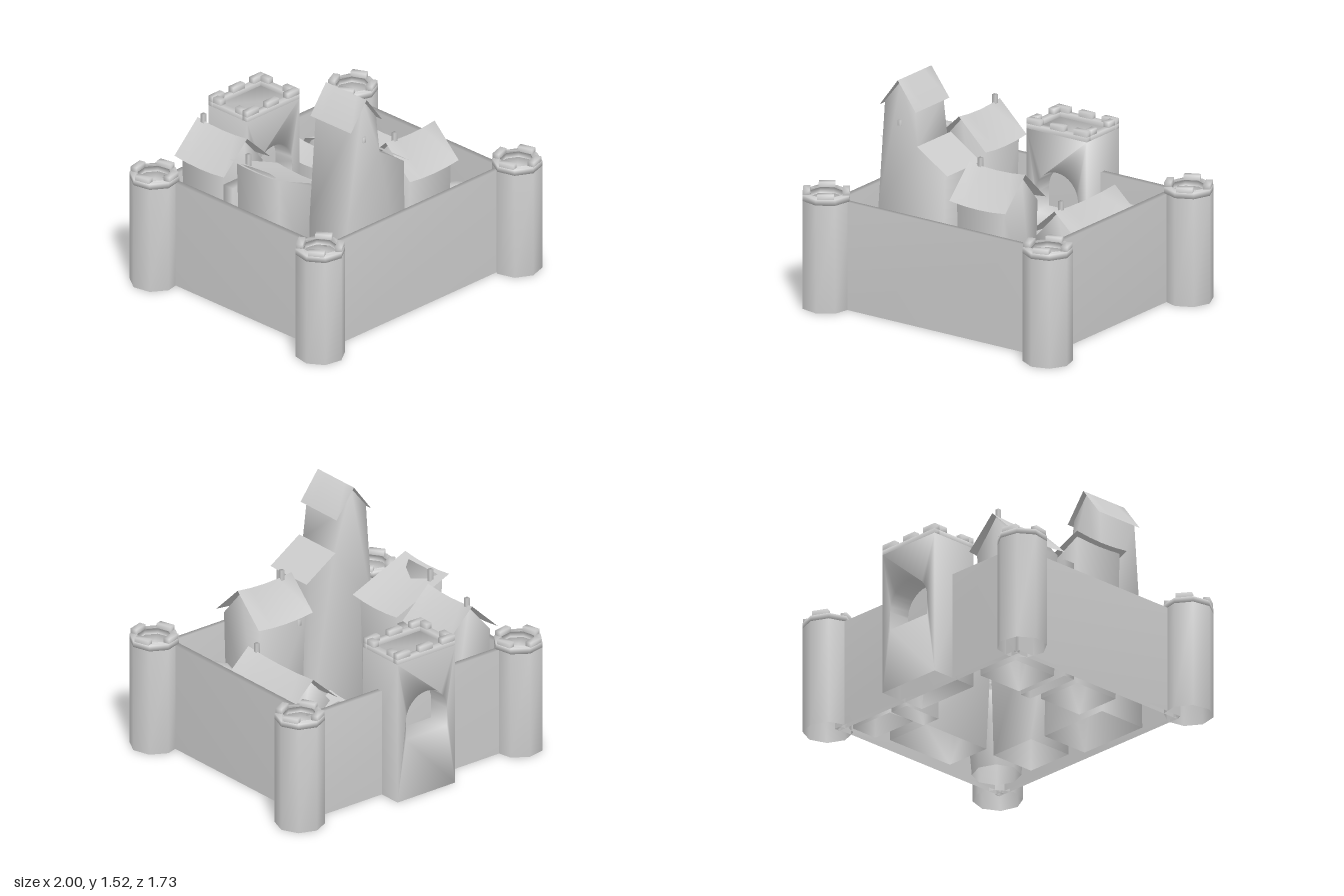
import * as THREE from 'three';
import { mergeVertices } from 'three/addons/utils/BufferGeometryUtils.js';

const mat = new THREE.MeshStandardMaterial({ color: 0xcccccc, side: THREE.DoubleSide });

// Leave out faces lying on the base (y = 0) and weld the rest for smooth shading
function openAndWeld(geo) {
  const p = (geo.index ? geo.toNonIndexed() : geo).attributes.position;
  const kept = [];
  for (let i = 0; i < p.count; i += 3) {
    const corners = [i, i + 1, i + 2];
    if (corners.every((k) => Math.abs(p.getY(k)) < 1e-4)) continue;
    corners.forEach((k) => kept.push(p.getX(k), p.getY(k), p.getZ(k)));
  }
  const open = new THREE.BufferGeometry();
  open.setAttribute('position', new THREE.Float32BufferAttribute(kept, 3));
  const welded = mergeVertices(open);
  welded.computeVertexNormals();
  return welded;
}

function add(parent, name, geo, x = 0, y = 0, z = 0) {
  const m = new THREE.Mesh(openAndWeld(geo), mat);
  m.name = name;
  m.position.set(x, y, z);
  parent.add(m);
  return m;
}
// Box standing on height y
const box = (p, name, w, h, d, x, y, z) => add(p, name, new THREE.BoxGeometry(w, h, d).translate(0, h / 2, 0), x, y, z);

function group(parent, name, x, z, turn = 0) {
  const g = new THREE.Group();
  g.name = name;
  g.position.set(x, 0, z);
  g.rotation.y = turn;
  parent.add(g);
  return g;
}

const shapeOf = (pts) => new THREE.Shape(pts.map(([x, y]) => new THREE.Vector2(x, y)));

// Extrude a profile along z, centred
function prism(shape, depth) {
  const g = new THREE.ExtrudeGeometry(shape, { depth, bevelEnabled: false, curveSegments: 8 });
  return g.translate(0, 0, -depth / 2);
}

// Scale x and z by rules of the height
function taper(geo, scaleX, scaleZ) {
  const p = geo.attributes.position;
  for (let i = 0; i < p.count; i++) {
    const y = p.getY(i);
    p.setX(i, p.getX(i) * scaleX(y));
    p.setZ(i, p.getZ(i) * scaleZ(y));
  }
  return geo;
}

// Thin roof sheet following a line of [x, y] points, sagging midway
function roofSheet(line, length, sag = 0) {
  const cols = line.length;
  const geo = new THREE.PlaneGeometry(1, length, cols - 1, 4).rotateX(-Math.PI / 2);
  const p = geo.attributes.position;
  for (let i = 0; i < p.count; i++) {
    const [x, y] = line[i % cols];
    p.setX(i, x);
    p.setY(i, y - sag * (1 - (2 * p.getZ(i) / length) ** 2));
  }
  return geo;
}

// House whose roof line crosses its span; chimney is [x, z, top]
function house(parent, name, { x, z, span, length, line, turn = 0, base = 0.9, chimney }) {
  const g = group(parent, name, x, z, turn);
  const inset = (span - 0.06) / span;
  const top = line.map(([px, py]) => [px * inset, py - 0.02]);
  const h = Math.max(...line.map((p) => p[1]));
  const body = prism(shapeOf([[top[0][0], 0], ...top, [top[top.length - 1][0], 0]]), length - 0.06);
  const narrow = (y) => THREE.MathUtils.lerp(base, 1, y / h);
  add(g, 'walls', taper(body, narrow, narrow));
  add(g, 'roof', roofSheet(line, length, 0.015));
  if (chimney) box(parent, 'chimney', 0.025, 0.14, 0.025, chimney[0], chimney[2] - 0.14, chimney[1]);
}
const gable = (span, eave, apex) => [[-span / 2, eave], [0, apex], [span / 2, eave]];

// Octagonal corner tower with a hollow crenellated top
function cornerTower(parent, x, z, rot) {
  const g = group(parent, 'cornerTower', x, z, rot);
  add(g, 'towerBody', new THREE.CylinderGeometry(0.153, 0.153, 0.69, 8).translate(0, 0.345, 0));
  const oct = (r) => Array.from({ length: 8 }, (_, i) => [r * Math.sin(i * Math.PI / 4), r * Math.cos(i * Math.PI / 4)]);
  const ring = shapeOf(oct(0.153));
  ring.holes.push(new THREE.Path(oct(0.105).map(([a, b]) => new THREE.Vector2(a, b))));
  add(g, 'parapet', prism(ring, 0.036).rotateX(-Math.PI / 2), 0, 0.708, 0);
  for (let i = 0; i < 4; i++) {
    const a = Math.PI / 8 + i * Math.PI / 2;
    const m = box(g, 'merlon', 0.1, 0.032, 0.042, Math.sin(a) * 0.12, 0.724, Math.cos(a) * 0.12);
    m.rotation.y = a;
  }
}

// Square gate tower with an arched passage
function gateTower(parent) {
  const g = group(parent, 'gateTower', -0.015, -0.695);
  const w = 0.225, d = 0.165;
  const face = shapeOf([[-w, 0], [w, 0], [w, 0.92], [-w, 0.92]]);
  const arch = new THREE.Path();
  arch.moveTo(-0.16, 0.4);
  arch.lineTo(0.16, 0.4);
  arch.lineTo(0.16, 0.52);
  arch.absarc(0, 0.52, 0.16, 0, Math.PI, false);
  arch.lineTo(-0.16, 0.4);
  face.holes.push(arch);
  add(g, 'gateBody', prism(face, 2 * d));
  for (const s of [-1, 1]) {
    box(g, 'parapet', 2 * w, 0.03, 0.04, 0, 0.92, s * (d - 0.02));
    box(g, 'parapet', 0.04, 0.03, 2 * d - 0.08, s * (w - 0.02), 0.92, 0);
    box(g, 'merlon', 0.1, 0.035, 0.04, 0, 0.95, s * (d - 0.02));
    for (const t of [-1, 1]) {
      box(g, 'merlon', 0.1, 0.035, 0.04, s * (w - 0.05), 0.95, t * (d - 0.02));
      box(g, 'merlon', 0.04, 0.035, 0.065, s * (w - 0.02), 0.95, t * (d - 0.0725));
    }
  }
}

// Tall house with a gabled tower and a lean-to
function tallHouse(parent) {
  const g = group(parent, 'tallHouse', 0, 0.44);
  const body = prism(shapeOf([[-0.53, 0], [-0.525, 0.69], [-0.485, 1.36], [-0.37, 1.505], [-0.262, 1.36],
    [-0.235, 1.11], [-0.03, 0.98], [-0.03, 0]]), 0.32);
  add(g, 'walls', taper(body, () => 1, (y) => 1.06 - 0.11 * y));
  add(g, 'upperRoof', roofSheet([[-0.505, 1.34], [-0.37, 1.52], [-0.235, 1.34]], 0.345));
  add(g, 'leanToRoof', roofSheet([[-0.225, 1.125], [0, 0.98]], 0.345));
  box(g, 'window', 0.022, 0.035, 0.02, -0.37, 1.225, 0.148);
}

export function createModel() {
  const model = new THREE.Group();
  model.name = 'castle';

  // Curtain walls
  box(model, 'frontWall', 1.56, 0.69, 0.032, 0, 0, 0.66);
  box(model, 'backWall', 1.56, 0.69, 0.04, 0, 0, -0.69);
  box(model, 'rightWall', 0.04, 0.69, 1.36, -0.785, 0, -0.015);
  box(model, 'leftWall', 0.04, 0.69, 1.36, 0.75, 0, -0.015);

  // Corner towers
  [[-0.85, -0.715, -0.2], [0.845, -0.705, 0.05], [-0.848, 0.69, 0.2], [0.826, 0.71, -0.1]]
    .forEach(([x, z, r]) => cornerTower(model, x, z, r));

  gateTower(model);
  tallHouse(model);

  // Houses around the courtyard
  house(model, 'frontHouse', { x: 0.22, z: 0.4, span: 0.41, length: 0.42, line: gable(0.41, 0.825, 1.02),
    turn: Math.PI / 2, chimney: [0.09, 0.395, 1.06] });
  box(model, 'houseWindow', 0.022, 0.04, 0.03, 0.09, 0.75, 0.235);
  house(model, 'leftHouse', { x: 0.505, z: -0.105, span: 0.41, length: 0.62, line: gable(0.41, 0.56, 0.745),
    chimney: [0.5, 0.13, 0.79] });
  house(model, 'backRightHouse', { x: -0.535, z: -0.45, span: 0.4, length: 0.42, line: gable(0.4, 0.825, 1.015),
    chimney: [-0.535, -0.61, 1.055] });
  house(model, 'shedRoofHouse', { x: -0.555, z: 0.045, span: 0.41, length: 0.42,
    line: [[-0.205, 0.985], [0.205, 0.815]], chimney: [-0.675, -0.09, 1.015] });
  box(model, 'porch', 0.38, 0.775, 0.08, -0.545, 0, -0.205);

  // Low house at the back with a rounded roof and a side wing
  house(model, 'backLeftHouse', { x: 0.54, z: -0.54, span: 0.25, length: 0.38, turn: Math.PI / 2, base: 1,
    line: [[-0.125, 0.5], [-0.08, 0.57], [0, 0.6], [0.08, 0.57], [0.125, 0.5]] });
  house(model, 'backLeftWing', { x: 0.305, z: -0.495, span: 0.19, length: 0.33, base: 1,
    line: gable(0.19, 0.5, 0.59) });

  // Low round hut
  const hut = [[0.15, 0], [0.175, 0.3], [0.165, 0.46], [0.1, 0.53], [0, 0.55]];
  add(model, 'roundHut', new THREE.LatheGeometry(hut.map(([r, y]) => new THREE.Vector2(r, y)), 8), 0.57, 0, 0.45);

  return model;
}
